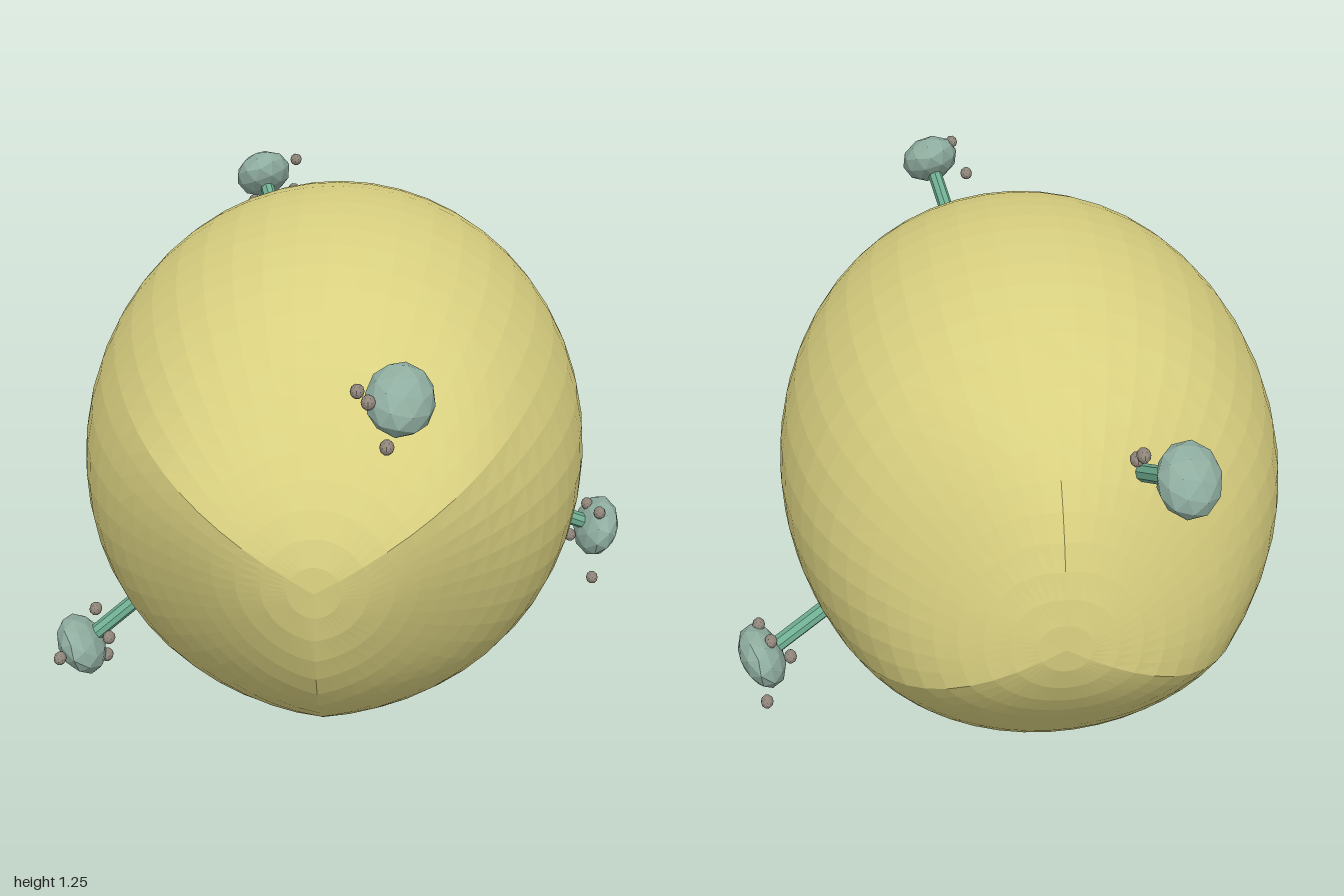
import * as THREE from 'three';

const STRETCH = 1.42, CENTRE = new THREE.Vector3(-0.03, 0.63, 0);

const mat = (color) => new THREE.MeshStandardMaterial({ color, flatShading: true });

// Round body whose two ends are pinched into three ridges with hollows between
function bodyGeometry() {
  const geo = new THREE.SphereGeometry(0.625, 48, 32).rotateX(Math.PI / 2);
  const pos = geo.attributes.position, v = new THREE.Vector3();
  for (let i = 0; i < pos.count; i++) {
    v.fromBufferAttribute(pos, i);
    const sign = v.z < 0 ? -1 : 1; // the ends mirror through the centre
    const around = Math.atan2(v.y * sign, v.x * sign);
    const tilt = Math.acos(Math.min(1, Math.abs(v.z) / 0.625));
    const fade = tilt < 1.2 ? Math.sin((Math.PI * tilt) / 1.2) ** 2 : 0;
    const hollow = Math.abs(Math.sin(1.5 * (around - Math.PI / 6)));
    v.multiplyScalar(1 + fade * (0.02 - 0.07 * hollow));
    pos.setXYZ(i, v.x, v.y, v.z);
  }
  geo.computeVertexNormals();
  return geo;
}

// Each sprout: cap centre and the small beads floating round it
const SPROUTS = [
  { name: 'frontSprout', cap: [0.155, 1.09, 0.88],
    beads: [[0.06, 1.075, 0.8], [0.09, 1.11, 0.95], [0.13, 1.02, 0.975]] },
  { name: 'leftSprout', cap: [0.66, 0.26, -0.3],
    beads: [[0.655, 0.11, -0.285], [0.59, 0.24, -0.28], [0.635, 0.315, -0.32], [0.665, 0.32, -0.25]] },
  { name: 'rightSprout', cap: [-0.66, 0.165, 0.27],
    beads: [[-0.62, 0.265, 0.27], [-0.585, 0.2, 0.3], [-0.6, 0.125, 0.25], [-0.7, 0.17, 0.36]] },
  { name: 'backSprout', cap: [-0.285, 1.06, -0.905],
    beads: [[-0.19, 1.11, -0.88], [-0.19, 1.05, -0.79], [-0.3, 1.02, -0.775]] },
];

export function createModel() {
  const model = new THREE.Group();
  model.name = 'model';

  // Everything is built round the origin, then stretched along z
  const stretched = new THREE.Group();
  stretched.name = 'stretchedForm';
  stretched.position.copy(CENTRE);
  stretched.scale.z = STRETCH;
  model.add(stretched);

  const body = new THREE.Mesh(bodyGeometry(), mat(0xd9d080));
  body.name = 'body';
  stretched.add(body);

  const stemMat = mat(0x6fae92), capMat = mat(0x8fada0), beadMat = mat(0x8f857a);
  const capGeo = new THREE.IcosahedronGeometry(1, 1).scale(0.077, 0.052, 0.077);
  const beadGeo = new THREE.IcosahedronGeometry(0.016, 1);
  const toLocal = (p) => {
    const v = new THREE.Vector3(...p).sub(CENTRE);
    v.z /= STRETCH;
    return v;
  };

  for (const { name, cap, beads } of SPROUTS) {
    const sprout = new THREE.Group();
    sprout.name = name;
    const end = toLocal(cap), length = end.length();

    // Stem and cap point straight out from the centre
    const arm = new THREE.Group();
    arm.name = 'arm';
    arm.quaternion.setFromUnitVectors(new THREE.Vector3(0, 1, 0), end.clone().normalize());
    const stemLength = length - 0.58;
    const stem = new THREE.Mesh(new THREE.CylinderGeometry(0.019, 0.019, stemLength, 8), stemMat);
    stem.name = 'stem';
    stem.position.y = 0.58 + stemLength / 2;
    const capMesh = new THREE.Mesh(capGeo, capMat);
    capMesh.name = 'cap';
    capMesh.position.y = length;
    arm.add(stem, capMesh);
    sprout.add(arm);

    for (const p of beads) {
      const bead = new THREE.Mesh(beadGeo, beadMat);
      bead.name = 'bead';
      bead.position.copy(toLocal(p));
      sprout.add(bead);
    }
    stretched.add(sprout);
  }
  return model;
}
